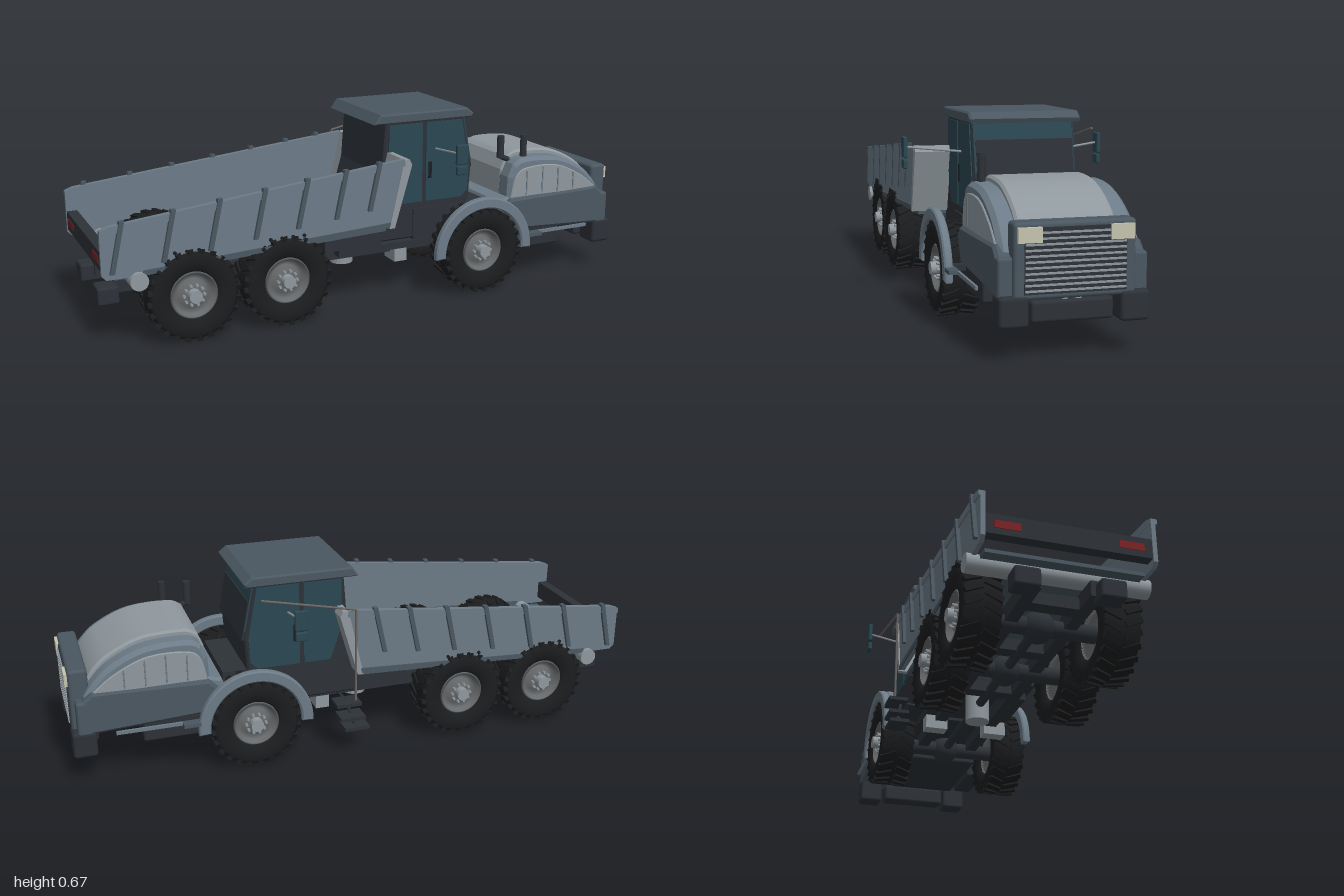
import * as THREE from 'three';
import { RoundedBoxGeometry } from 'three/addons/geometries/RoundedBoxGeometry.js';

const paint = (color) => new THREE.MeshStandardMaterial({ color, side: THREE.DoubleSide });
const M = {
  body: paint(0x4a5761), mid: paint(0x6c7b87), light: paint(0x8f989e), glass: paint(0x2b4751), rim: paint(0x66696b),
  dark: paint(0x2d3238), black: paint(0x1c1d1f), lamp: paint(0xc6c5b0), red: paint(0x7a2222), rail: paint(0x6b6560),
};

export function createModel() {
  const root = new THREE.Group();
  const add = (name, geo, mat, parent = root) => {
    const m = new THREE.Mesh(geo, mat);
    m.name = name;
    parent.add(m);
    return m;
  };
  // Box given by its extents on each axis
  const box = (name, mat, x0, x1, y0, y1, z0, z1, r = 0) => {
    const s = [x1 - x0, y1 - y0, z1 - z0];
    const m = add(name, r ? new RoundedBoxGeometry(...s, 2, r) : new THREE.BoxGeometry(...s), mat);
    m.position.set((x0 + x1) / 2, (y0 + y1) / 2, (z0 + z1) / 2);
    return m;
  };
  const vecs = (pts) => pts.map((p) => new THREE.Vector2(...p));
  // Side profile extruded from z0 to z1
  const ext = (name, mat, shape, z0, z1, b = 0) => {
    const s = Array.isArray(shape) ? new THREE.Shape(vecs(shape)) : shape;
    const geo = new THREE.ExtrudeGeometry(s, {
      depth: z1 - z0 - 2 * b, bevelEnabled: b > 0, bevelThickness: b, bevelSize: b, bevelOffset: -b,
      bevelSegments: 1, curveSegments: 28,
    });
    add(name, geo, mat).position.z = z0 + b;
  };
  // Round bar between two points
  const rod = (name, mat, a, b, r, seg = 16, parent = root) => {
    const A = new THREE.Vector3(...a), B = new THREE.Vector3(...b), d = B.clone().sub(A);
    const m = add(name, new THREE.CylinderGeometry(r, r, d.length(), seg), mat, parent);
    m.position.copy(A).add(B).multiplyScalar(0.5);
    m.quaternion.setFromUnitVectors(new THREE.Vector3(0, 1, 0), d.normalize());
  };
  const sides = [1, -1];
  // Extents mirrored across z
  const pair = (name, mat, x0, x1, y0, y1, z0, z1, r = 0) => sides.forEach((s) =>
    box(name, mat, x0, x1, y0, y1, Math.min(s * z0, s * z1), Math.max(s * z0, s * z1), r));
  const extPair = (name, mat, shape, z0, z1, b = 0) => {
    ext(name, mat, shape, z0, z1, b);
    ext(name, mat, shape, -z1, -z0, b);
  };

  // Wheels: tyre, chunky tread, dished rim, hub and bolts
  const lathe = (pts) => new THREE.LatheGeometry(vecs(pts), 40).rotateX(Math.PI / 2);
  const tyre = lathe([[0.078, -0.045], [0.088, -0.056], [0.115, -0.062], [0.138, -0.061], [0.149, -0.054],
    [0.151, 0], [0.149, 0.054], [0.138, 0.061], [0.115, 0.062], [0.088, 0.056], [0.078, 0.045]]);
  const rim = lathe([[0, -0.03], [0.07, -0.03], [0.079, -0.045], [0.08, 0.05], [0.074, 0.054], [0.068, 0.034],
    [0.05, 0.024], [0.042, 0.044], [0, 0.044]]);
  const lug = new THREE.BoxGeometry(0.018, 0.016, 0.058);
  const wheel = (x, s) => {
    const g = new THREE.Group();
    g.name = 'wheel';
    add('tyre', tyre, M.black, g);
    add('rim', rim, M.rim, g);
    for (let i = 0; i < 48; i++) {
      const k = i % 2 ? 1 : -1;
      const arm = new THREE.Group();
      arm.rotation.z = (i * Math.PI) / 24;
      const b = add('treadBlock', lug, M.black, arm);
      b.position.set(0, 0.149, k * 0.032);
      b.rotation.y = k * 0.4;
      g.add(arm);
    }
    rod('hub', M.light, [0, 0, 0.03], [0, 0, 0.072], 0.022, 16, g);
    for (let i = 0; i < 10; i++) {
      const a = (i * Math.PI) / 5, c = 0.034 * Math.cos(a), d = 0.034 * Math.sin(a);
      rod('wheelBolt', M.light, [c, d, 0.035], [c, d, 0.056], 0.005, 6, g);
    }
    g.position.set(x, 0.157, s * 0.217);
    if (s < 0) g.rotation.y = Math.PI;
    root.add(g);
  };
  for (const x of [-0.705, -0.38, 0.385]) {
    sides.forEach((s) => wheel(x, s));
    rod('axle', M.dark, [x, 0.157, -0.19], [x, 0.157, 0.19], 0.028);
    add('differential', new THREE.SphereGeometry(0.052, 20, 14), M.dark).position.set(x, 0.157, 0);
  }

  // Chassis
  pair('chassisRail', M.dark, -0.95, 0.35, 0.15, 0.2, 0.075, 0.115);
  pair('rearBlock', M.dark, -0.995, -0.925, 0.13, 0.19, 0.09, 0.17, 0.008);
  for (const x of [-0.86, -0.55, -0.22]) box('crossMember', M.dark, x, x + 0.05, 0.15, 0.19, -0.1, 0.1);
  rod('driveShaft', M.dark, [-0.7, 0.157, 0], [0.38, 0.157, 0], 0.016);
  rod('pivotColumn', M.light, [-0.06, 0.1, 0], [-0.06, 0.3, 0], 0.042, 24);
  box('centreFrame', M.dark, -0.2, 0.02, 0.2, 0.25, -0.17, 0.17);
  pair('bracket', M.light, 0.085, 0.135, 0.12, 0.185, 0.07, 0.15);
  pair('walkway', M.dark, -0.14, 0.2, 0.17, 0.195, 0.115, 0.155);
  box('engineSump', M.dark, 0.4, 0.76, 0.115, 0.2, -0.125, 0.125, 0.01);
  pair('sideTank', M.dark, 0.55, 0.76, 0.12, 0.2, 0.14, 0.21, 0.008);

  // Dump bed: walls, leaning ribs, floor and tail beam
  const wall = [[-1, 0.265], [-0.985, 0.25], [-0.87, 0.25], [0.005, 0.295], [0.065, 0.51], [0.055, 0.53],
    [-0.97, 0.42], [-1, 0.41]];
  extPair('bedWall', M.mid, wall, 0.256, 0.27);
  extPair('bedTopRail', M.mid, [[-1, 0.395], [0.058, 0.508], [0.056, 0.532], [-0.97, 0.423], [-1, 0.412]], 0.255, 0.276);
  extPair('bedLowerRail', M.body, [[-0.87, 0.25], [0.005, 0.295], [0.01, 0.312], [-0.87, 0.267]], 0.255, 0.275);
  for (const x of [-0.93, -0.765, -0.61, -0.455, -0.305, -0.165, -0.04]) {
    const t = 0.425 + (x + 0.97) * 0.107;
    extPair('bedRib', M.body, [[x - 0.045, t - 0.16], [x - 0.03, t - 0.16], [x + 0.008, t + 0.008],
      [x - 0.008, t + 0.008]], 0.262, 0.282);
  }
  for (const x of [-0.705, -0.38]) for (let i = -1.5; i < 2; i++) sides.forEach((s) =>
    rod('bedBolt', M.black, [x + i * 0.04, 0.31, s * 0.265], [x + i * 0.04, 0.31, s * 0.276], 0.006, 8));
  ext('bedFloor', M.body, [[-0.955, 0.238], [0, 0.275], [0, 0.29], [-0.955, 0.25]], -0.246, 0.246);
  pair('floorPad', M.dark, -0.51, -0.42, 0.25, 0.285, 0.11, 0.135);
  rod('rearTube', M.light, [-0.885, 0.235, -0.286], [-0.885, 0.235, 0.286], 0.03, 20);
  box('tailBeam', M.dark, -0.998, -0.962, 0.275, 0.34, -0.255, 0.255);
  pair('tailLamp', M.red, -1, -0.99, 0.295, 0.32, 0.15, 0.23);
  for (const [z0, z1] of [[0.13, 0.275], [-0.275, -0.19]]) {
    ext('bedFrontWall', M.light, [[0, 0.29], [0.02, 0.29], [0.085, 0.51], [0.075, 0.53], [0.055, 0.53]], z0, z1);
  }

  // Cab, set off to one side
  ext('cabBody', M.dark, [[-0.005, 0.2], [0.33, 0.2], [0.395, 0.33], [0.403, 0.45], [0.365, 0.64], [0.05, 0.64],
    [0.035, 0.45], [0, 0.33]], -0.208, 0.145, 0.006);
  ext('roof', M.body, [[0, 0.633], [0.025, 0.667], [0.375, 0.667], [0.402, 0.645], [0.395, 0.63]], -0.225, 0.157, 0.006);
  for (const z of [0.141, -0.212]) {
    ext('rearSideGlass', M.glass, [[0.06, 0.625], [0.195, 0.625], [0.195, 0.335], [0.1, 0.335], [0.06, 0.45]], z, z + 0.008);
    ext('doorGlass', M.glass, [[0.21, 0.625], [0.357, 0.625], [0.39, 0.45], [0.385, 0.36], [0.36, 0.335], [0.21, 0.335]], z, z + 0.008);
    box('doorHandle', M.black, 0.22, 0.232, 0.42, 0.48, z - 0.004, z + 0.012);
  }
  ext('windscreen', M.glass, [[0.39, 0.47], [0.403, 0.47], [0.371, 0.63], [0.358, 0.63]], -0.203, 0.14);
  ext('lowerScreen', M.dark, [[0.39, 0.44], [0.411, 0.44], [0.385, 0.575], [0.37, 0.575]], -0.2, 0.133);
  box('cabBase', M.dark, 0.16, 0.47, 0.19, 0.31, -0.15, 0.15);

  // Front wheel arches and running strips
  const arch = new THREE.Shape();
  arch.absarc(0.385, 0.157, 0.2, -0.05, Math.PI + 0.05, false);
  arch.absarc(0.385, 0.157, 0.16, Math.PI + 0.05, -0.05, true);
  extPair('wheelArch', M.mid, arch, 0.257, 0.285, 0.005);
  pair('archStep', M.body, 0.545, 0.635, 0.185, 0.198, 0.25, 0.284);
  pair('sideStrip', M.mid, 0.55, 0.855, 0.185, 0.197, 0.249, 0.257);
  pair('archStay', M.dark, 0.53, 0.56, 0.18, 0.2, 0.15, 0.26);

  // Hood
  const hood = (dy) => {
    const s = new THREE.Shape(vecs([[0.525, 0.3], [0.53, 0.4 + dy], [0.55, 0.448 + dy]]));
    s.splineThru(vecs([[0.6, 0.468 + dy], [0.74, 0.46 + dy], [0.85, 0.413 + dy], [0.91, 0.36 + dy], [0.945, 0.31]]));
    return s;
  };
  ext('hoodShoulders', M.mid, hood(0), -0.212, 0.212, 0.014);
  ext('hoodTop', M.light, hood(0.019), -0.152, 0.152, 0.008);
  const vent = new THREE.Shape(vecs([[0.535, 0.325]]));
  vent.splineThru(vecs([[0.56, 0.41], [0.62, 0.435], [0.74, 0.43], [0.85, 0.38], [0.92, 0.325]]));
  extPair('ventPanel', M.light, vent, 0.205, 0.217, 0.003);
  [[0.6, 0.42], [0.67, 0.43], [0.74, 0.42], [0.81, 0.395]].forEach(([x, y]) =>
    pair('ventSeam', M.mid, x, x + 0.005, 0.33, y, 0.21, 0.219));
  ext('engineSide', M.body, [[0.53, 0.32], [0.5, 0.29], [0.54, 0.2], [0.95, 0.18], [0.965, 0.29], [0.92, 0.33]], -0.225, 0.225, 0.01);
  ext('hoodRearSkirt', M.mid, [[0.465, 0.26], [0.54, 0.24], [0.54, 0.33], [0.485, 0.315]], -0.21, 0.21, 0.01);
  rod('exhaustRear', M.dark, [0.525, 0.465, 0.15], [0.525, 0.548, 0.15], 0.0135);
  rod('exhaustFront', M.dark, [0.61, 0.44, 0.174], [0.61, 0.548, 0.174], 0.0125);
  rod('exhaustLink', M.dark, [0.525, 0.47, 0.15], [0.56, 0.455, 0.15], 0.01);

  // Grille, lamps and bumper
  box('grilleFrame', M.body, 0.925, 0.99, 0.178, 0.4, -0.183, 0.183, 0.012);
  pair('noseCheek', M.body, 0.925, 0.975, 0.18, 0.3, 0.17, 0.225, 0.01);
  box('grille', M.dark, 0.98, 0.993, 0.195, 0.385, -0.152, 0.152);
  for (let i = 0; i < 11; i++) box('grilleSlat', M.light, 0.985, 0.997, 0.202 + i * 0.0165, 0.208 + i * 0.0165, -0.15, 0.15);
  pair('headlamp', M.lamp, 0.98, 1, 0.343, 0.387, 0.102, 0.173);
  pair('bumperEnd', M.dark, 0.915, 0.995, 0.1, 0.192, 0.137, 0.226, 0.012);
  box('bumperCentre', M.dark, 0.9, 0.97, 0.106, 0.17, -0.124, 0.124, 0.01);
  pair('towHook', M.light, 0.93, 0.96, 0.16, 0.185, 0.012, 0.028);

  // Mirrors
  sides.forEach((s) =>
    rod('mirrorArm', M.light, [0.25, 0.525, s > 0 ? 0.14 : -0.2], [0.242, 0.545, s * 0.34], 0.004, 8));
  pair('mirror', M.glass, 0.22, 0.265, 0.51, 0.58, 0.336, 0.35, 0.004);
  pair('lowerMirror', M.glass, 0.222, 0.263, 0.473, 0.504, 0.336, 0.35, 0.004);

  // Access steps and handrail
  for (const [y, x] of [[0.095, 0.03], [0.135, 0.045], [0.19, 0.06]])
    box('step', M.dark, x - 0.045, x + 0.045, y - 0.006, y + 0.006, -0.303, -0.235);
  rod('stepStay', M.dark, [0.03, 0.095, -0.27], [0.06, 0.2, -0.25], 0.006, 8);
  rod('stepArm', M.dark, [0.06, 0.19, -0.25], [0.06, 0.185, -0.14], 0.006, 8);
  rod('handrailPost', M.rail, [0.03, 0.19, -0.28], [0.03, 0.535, -0.28], 0.004, 8);
  rod('handrail', M.rail, [0.03, 0.535, -0.28], [0.36, 0.605, -0.28], 0.004, 8);
  return root;
}
